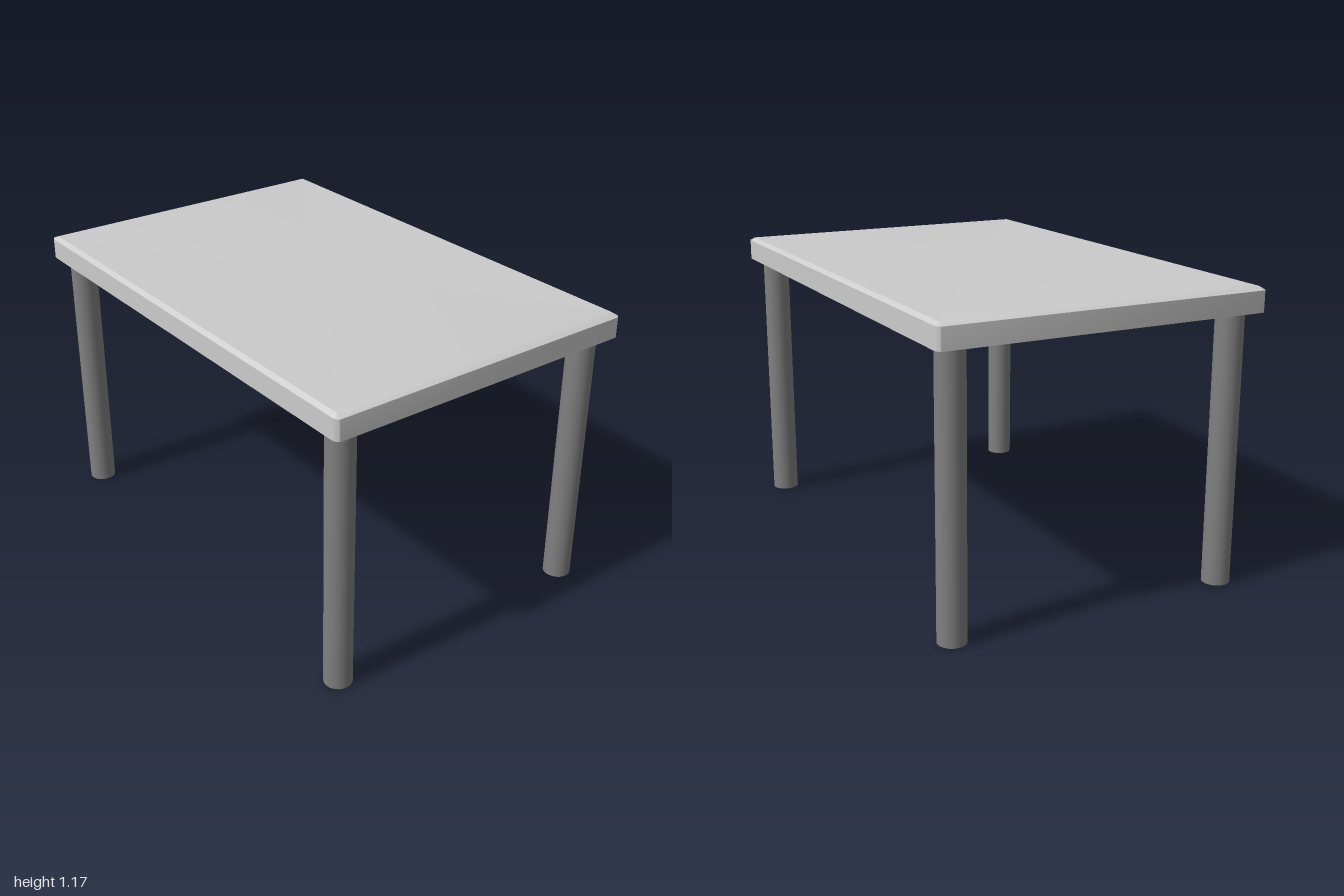
import * as THREE from 'three';
import { toCreasedNormals } from 'three/addons/utils/BufferGeometryUtils.js';

const HALF_X = 0.664, HALF_Z = 1, TOP = 1.175, RIM = 1.163, UNDERSIDE = 1.08;
const EDGE = 0.02; // corner radius and chamfer width across x
const CORNER_STEPS = 4;

// Rounded outline at height y, stretched along z to the slab's proportions
function outline(y, inset) {
  const points = [], centre = HALF_X - EDGE, r = EDGE - inset;
  for (let c = 0; c < 4; c++) {
    const mid = Math.PI / 4 + c * Math.PI / 2;
    for (let i = 0; i <= CORNER_STEPS; i++) {
      const a = (c + i / CORNER_STEPS) * Math.PI / 2;
      const x = Math.sign(Math.cos(mid)) * centre + r * Math.cos(a);
      const z = Math.sign(Math.sin(mid)) * centre + r * Math.sin(a);
      points.push([x, y, z * HALF_Z / HALF_X]);
    }
  }
  return points;
}

// Skin a stack of outlines and close both ends
function slabGeometry(rings) {
  const n = rings[0].length, index = [];
  const positions = [...rings.flat(2), 0, rings[0][0][1], 0, 0, rings.at(-1)[0][1], 0];
  const bottom = rings.length * n, top = bottom + 1, last = (rings.length - 1) * n;
  for (let i = 0; i < n; i++) {
    const j = (i + 1) % n;
    for (let k = 0; k < rings.length - 1; k++) {
      const a = k * n + i, b = k * n + j;
      index.push(a, a + n, b, b, a + n, b + n);
    }
    index.push(bottom, i, j, top, last + j, last + i);
  }
  const geometry = new THREE.BufferGeometry();
  geometry.setAttribute('position', new THREE.Float32BufferAttribute(positions, 3));
  geometry.setIndex(index);
  return toCreasedNormals(geometry, 0.42);
}

export function createModel() {
  const table = new THREE.Group();
  table.name = 'table';

  // Slab with rounded corners and a shallow chamfer around the upper edge
  const tabletop = new THREE.Mesh(
    slabGeometry([outline(UNDERSIDE, 0), outline(RIM, 0), outline(TOP, EDGE - 0.001)]),
    new THREE.MeshStandardMaterial({ color: 0xcccccc }));
  tabletop.name = 'tabletop';
  table.add(tabletop);

  // Four round legs, darker than the top
  const legGeometry = new THREE.CylinderGeometry(0.055, 0.055, UNDERSIDE, 32);
  const legMaterial = new THREE.MeshStandardMaterial({ color: 0x808080 });
  for (const [side, x] of [['Left', 0.573], ['Right', -0.573]]) {
    for (const [end, z] of [['front', 0.903], ['back', -0.903]]) {
      const leg = new THREE.Mesh(legGeometry, legMaterial);
      leg.name = `${end}${side}Leg`;
      leg.position.set(x, UNDERSIDE / 2, z);
      table.add(leg);
    }
  }
  return table;
}
